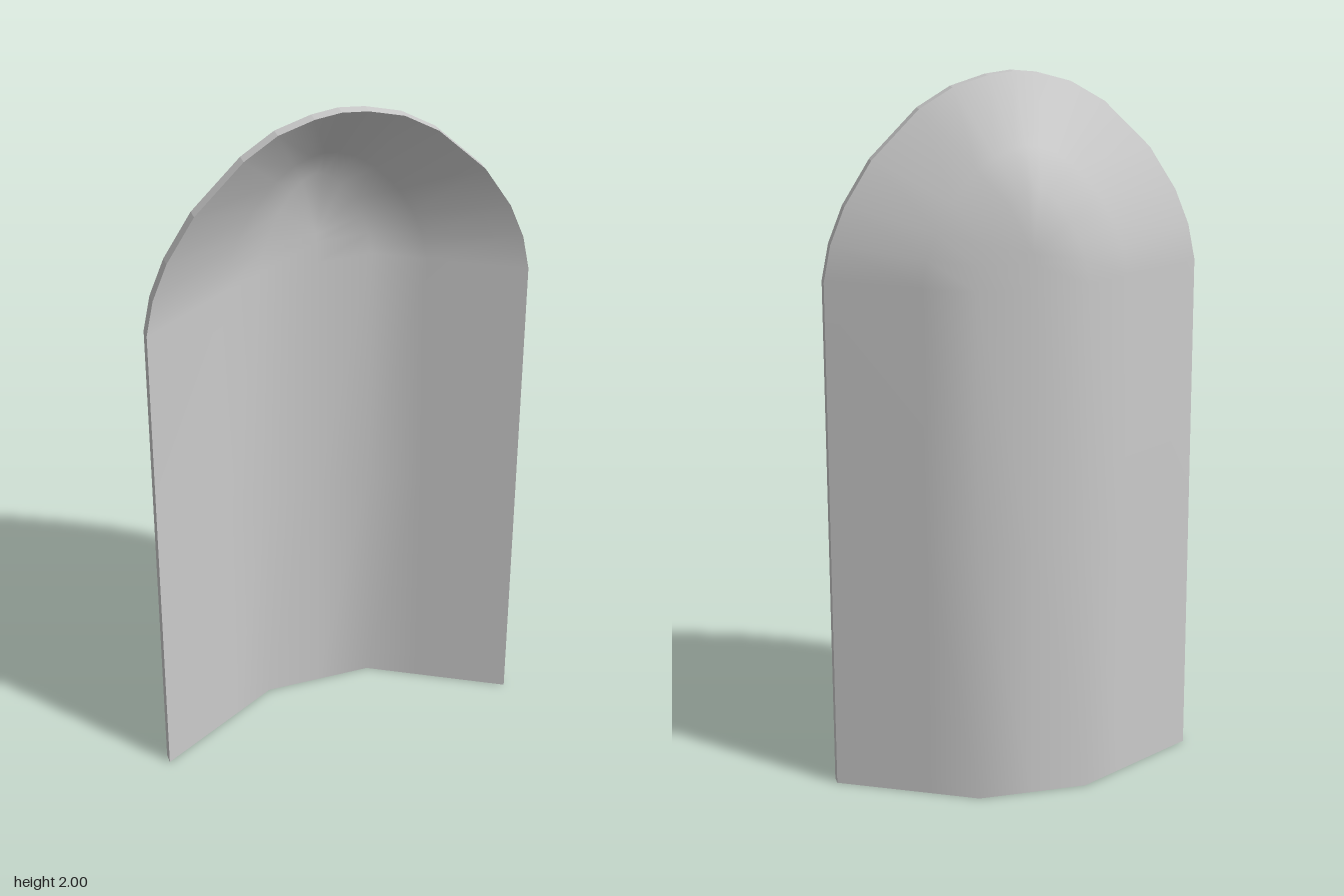
import * as THREE from 'three';

const BACK = -0.117, RIM = 0.087, THICK = 0.03;

// Right half stations, bottom to crown: [rim x, rim y, ridge x, ridge y]
const half = [
  [0.52, 0, 0.155, 0], [0.52, 0.73, 0.155, 0.73], [0.52, 1.46, 0.155, 1.46],
  [0.5, 1.56, 0.145, 1.525], [0.46, 1.66, 0.125, 1.58], [0.385, 1.78, 0.1, 1.635],
  [0.255, 1.91, 0.067, 1.685], [0.165, 1.964, 0.04, 1.711], [0.07, 1.992, 0.017, 1.725],
];
const stations = [
  ...half, [0, 2, 0, 1.73],
  ...half.map(([a, b, c, d]) => [-a, b, -c, d]).reverse(),
];

// Each station runs from the spine, over the ridge and down the slope to the rim
const grid = stations.map(([x, y, rx, ry]) => {
  const rimZ = RIM - (Math.abs(x) < 0.2 ? 0.005 : 0);
  const slope = (t) => new THREE.Vector3(rx + (x - rx) * t, ry + (y - ry) * t, BACK + (rimZ - BACK) * t);
  return [new THREE.Vector3(0, Math.min(ry, 1.55), BACK), slope(0), slope(0.35), slope(1)];
});

// Smooth sheet over the grid, facing front (+z) or back
function sheet(dz, front) {
  const rows = grid[0].length, pos = [], index = [];
  grid.forEach((s) => s.forEach((p) => pos.push(p.x, p.y, p.z + dz)));
  for (let i = 0; i < grid.length - 1; i++) {
    for (let j = 0; j < rows - 1; j++) {
      const a = i * rows + j, b = a + 1, d = a + rows, c = d + 1;
      if (front) index.push(a, b, c, a, c, d);
      else index.push(a, c, b, a, d, c);
    }
  }
  const g = new THREE.BufferGeometry();
  g.setAttribute('position', new THREE.Float32BufferAttribute(pos, 3));
  g.setIndex(index);
  g.computeVertexNormals();
  return g;
}

// Narrow wall joining the two sheets along a path
function wall(path) {
  const pos = [];
  for (let i = 0; i < path.length - 1; i++) {
    const p = path[i], q = path[i + 1];
    const P = [p.x, p.y, p.z + THICK], Q = [q.x, q.y, q.z + THICK];
    pos.push(...p.toArray(), ...q.toArray(), ...Q, ...p.toArray(), ...Q, ...P);
  }
  const g = new THREE.BufferGeometry();
  g.setAttribute('position', new THREE.Float32BufferAttribute(pos, 3));
  g.computeVertexNormals();
  return g;
}

export function createModel() {
  const group = new THREE.Group();
  group.name = 'archedPanel';
  const material = new THREE.MeshStandardMaterial({ color: 0xcccccc });
  const add = (name, geometry) => {
    const mesh = new THREE.Mesh(geometry, material);
    mesh.name = name;
    group.add(mesh);
  };
  const first = grid[0], last = grid[grid.length - 1];
  add('innerFace', sheet(THICK, true));
  add('outerFace', sheet(0, false));
  add('archedRim', wall(grid.map((s) => s[s.length - 1])));
  add('bottomEdge', wall([...[...last].reverse(), ...first.slice(1)]));
  return group;
}
